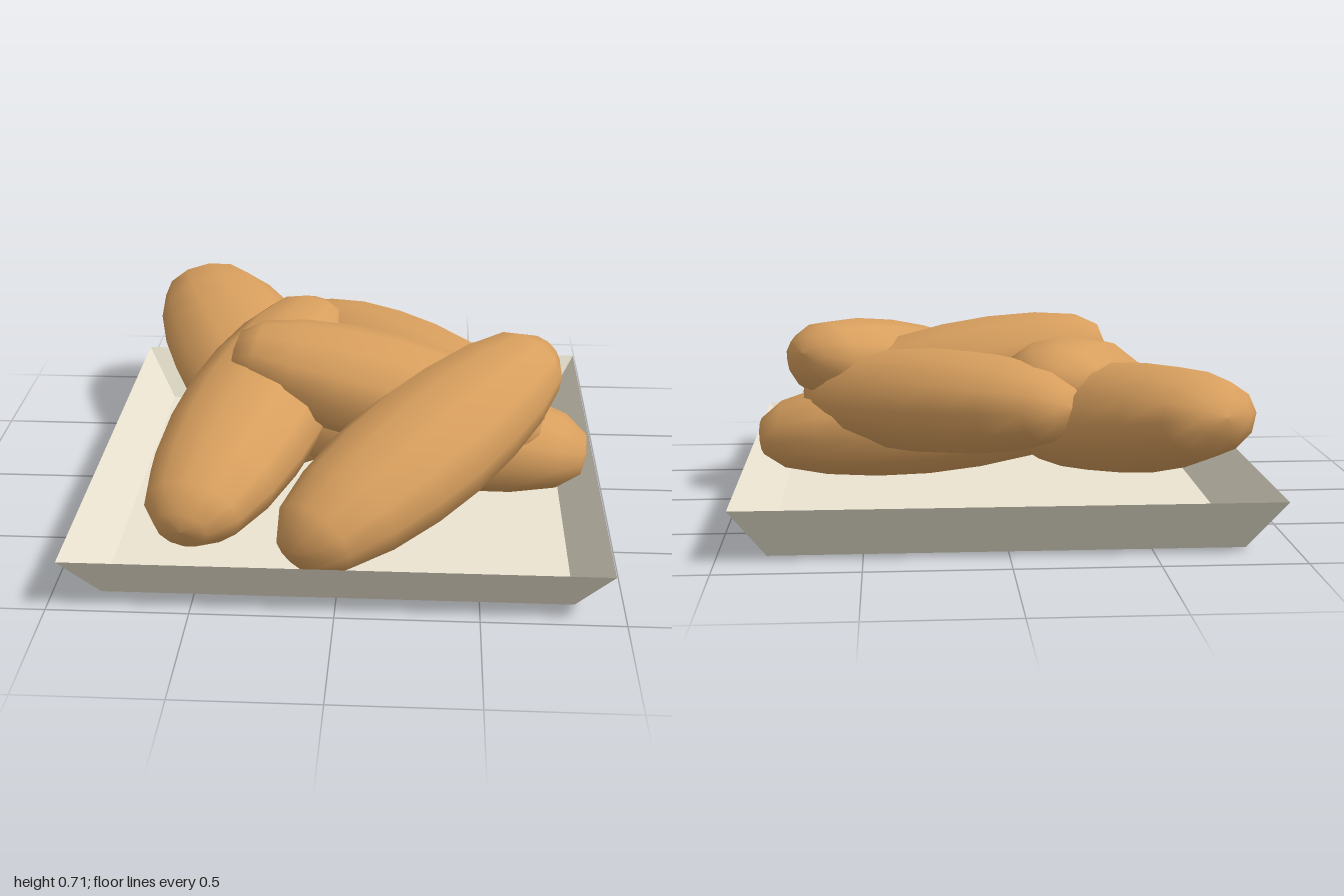
import * as THREE from 'three';

const CRUST = new THREE.MeshStandardMaterial({ color: 0xd89f5e });
const TRAY = new THREE.MeshStandardMaterial({ color: 0xebe4d1, side: THREE.DoubleSide, flatShading: true });

// blunt-ended loaf, unit radius and unit half length along y
const HALF = [[0, 1], [0.35, 0.98], [0.64, 0.85], [0.84, 0.6], [0.96, 0.3]];
const PROFILE = [
  ...HALF.map(([r, y]) => new THREE.Vector2(r, -y)),
  new THREE.Vector2(1, 0),
  ...HALF.slice().reverse().map(([r, y]) => new THREE.Vector2(r, y)),
];
const LOAF = new THREE.LatheGeometry(PROFILE, 12);

// stretch a loaf between its two tips, wider than it is high
function loaf(name, a, b, halfWidth, halfHeight) {
  const start = new THREE.Vector3(...a);
  const end = new THREE.Vector3(...b);
  const axis = end.clone().sub(start);
  const length = axis.length();
  axis.normalize();
  const side = new THREE.Vector3(0, 1, 0).cross(axis).normalize();
  const up = side.clone().cross(axis);
  const mesh = new THREE.Mesh(LOAF, CRUST);
  mesh.name = name;
  mesh.position.copy(start).add(end).multiplyScalar(0.5);
  mesh.scale.set(halfWidth, length / 2, halfHeight);
  mesh.quaternion.setFromRotationMatrix(new THREE.Matrix4().makeBasis(side, axis, up));
  return mesh;
}

// open tray: floor and four sloping walls
function tray() {
  const ring = (x, y, back, front) => [[-x, y, front], [x, y, front], [x, y, back], [-x, y, back]];
  const floor = ring(0.83, 0, -0.79, 0.87);
  const rim = ring(0.95, 0.19, -0.91, 1);
  const points = [];
  const quad = (a, b, c, d) => points.push(...a, ...b, ...c, ...a, ...c, ...d);
  quad(floor[3], floor[2], floor[1], floor[0]);
  for (let i = 0; i < 4; i++) {
    const j = (i + 1) % 4;
    quad(floor[i], floor[j], rim[j], rim[i]);
  }
  const geometry = new THREE.BufferGeometry();
  geometry.setAttribute('position', new THREE.Float32BufferAttribute(points, 3));
  geometry.computeVertexNormals();
  const mesh = new THREE.Mesh(geometry, TRAY);
  mesh.name = 'tray';
  return mesh;
}

export function createModel() {
  const model = new THREE.Group();
  model.name = 'trayOfLoaves';
  model.add(
    tray(),
    loaf('frontLoaf', [-0.14, 0.22, 0.96], [0.74, 0.58, -0.03], 0.275, 0.215),
    loaf('rightLoaf', [-0.54, 0.25, 0.88], [-0.16, 0.54, -0.52], 0.285, 0.21),
    loaf('topLoaf', [-0.44, 0.6, 0.07], [0.74, 0.33, 0.17], 0.27, 0.205),
    loaf('backLoaf', [-0.24, 0.46, -0.59], [0.7, 0.37, 0.25], 0.27, 0.2),
    loaf('backRightLoaf', [-0.71, 0.5, -0.98], [-0.17, 0.26, 0.25], 0.305, 0.205),
    loaf('bottomLoaf', [-0.4, 0.36, 0], [0.92, 0.22, 0.14], 0.28, 0.21),
  );
  return model;
}
